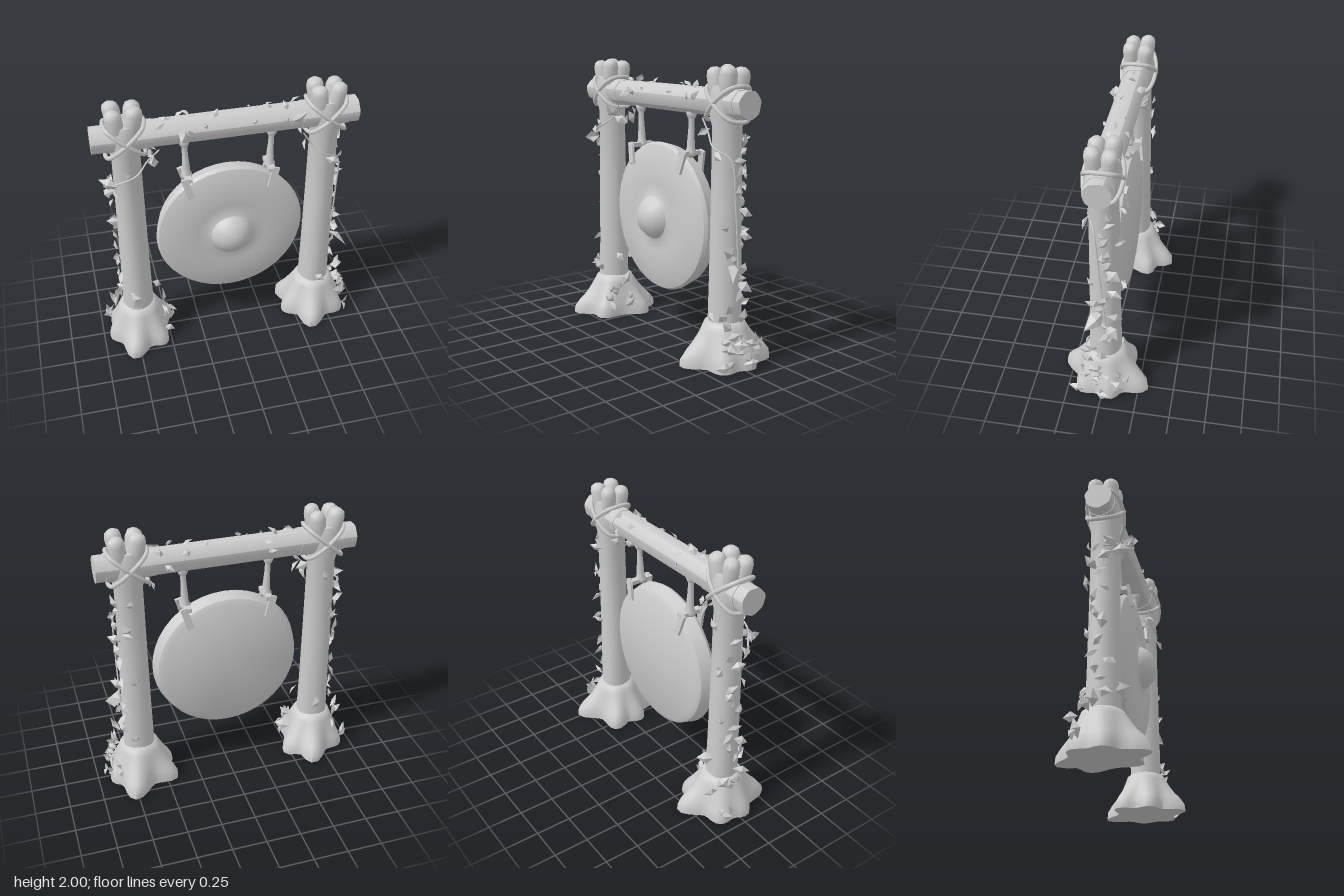
import * as THREE from 'three';
import { mergeGeometries, toCreasedNormals } from 'three/addons/utils/BufferGeometryUtils.js';

const stone = new THREE.MeshStandardMaterial({ color: 0xcccccc, side: THREE.DoubleSide });
stone.name = 'pale grey';

let seed = 7;
const rand = (a = 0, b = 1) => {
  seed = (seed * 16807) % 2147483647;
  return a + (b - a) * (seed / 2147483647);
};

function add(parent, name, geo) {
  const mesh = new THREE.Mesh(geo, stone);
  mesh.name = name;
  parent.add(mesh);
  return mesh;
}

// Closed loft along y; radius(a, level) gives each ring's outline
function loft(levels, sides, radius, crease = 0.7) {
  const pos = [], idx = [], n = levels.length;
  levels.forEach((lv) => {
    for (let i = 0; i < sides; i++) {
      const a = (i / sides) * Math.PI * 2, r = radius(a, lv);
      pos.push(Math.cos(a) * r, lv[0], Math.sin(a) * r);
    }
  });
  pos.push(0, levels[0][0], 0, 0, levels[n - 1][0], 0);
  for (let i = 0; i < sides; i++) {
    const j = (i + 1) % sides, top = (n - 1) * sides;
    for (let k = 0; k < n - 1; k++) {
      const p = k * sides, q = p + sides;
      idx.push(p + i, q + i, p + j, p + j, q + i, q + j);
    }
    idx.push(n * sides, i, j, n * sides + 1, top + j, top + i);
  }
  const geo = new THREE.BufferGeometry();
  geo.setAttribute('position', new THREE.Float32BufferAttribute(pos, 3));
  geo.setIndex(idx);
  return toCreasedNormals(geo, crease);
}

const V = (p) => new THREE.Vector3(...p);
const tube = (pts, r, closed = false, segs = 40) =>
  new THREE.TubeGeometry(new THREE.CatmullRomCurve3(pts.map(V), closed), segs, r, 7, closed);

// Folded, faceted leaf growing from p, facing outward along n
function leaf(p, n, len, roll = rand(-2.6, 2.6)) {
  const w = len * rand(0.26, 0.36), h = len * 0.18;
  const B = [0, 0, 0], L = [-w, len * 0.5, 0], R = [w, len * 0.45, 0], M = [0, len * 0.5, h], T = [0, len, -h * 0.5];
  const geo = new THREE.BufferGeometry();
  geo.setAttribute('position', new THREE.Float32BufferAttribute(
    [B, M, L, B, R, M, L, M, T, M, R, T].flat(), 3));
  geo.computeVertexNormals();
  geo.translate(0, -len * 0.3, 0);
  geo.rotateX(rand(0.2, 0.9));
  const o = new THREE.Object3D();
  o.position.copy(p);
  o.lookAt(p.clone().add(n));
  o.rotateZ(roll);
  o.updateMatrix();
  return geo.applyMatrix4(o.matrix);
}

// Flared foot with root lobes given as [x, z] tips
function foot(lobes) {
  const levels = [[0, 0.2, 1], [0.05, 0.2, 0.96], [0.1, 0.19, 0.75], [0.15, 0.178, 0.45],
    [0.2, 0.165, 0.25], [0.25, 0.15, 0.1], [0.285, 0.138, 0.03], [0.305, 0.11, 0]];
  return loft(levels, 40, (a, [, core, k]) => {
    let bulge = 0;
    for (const [x, z] of lobes) {
      const d = Math.atan2(z, x) - a, s = Math.atan2(Math.sin(d), Math.cos(d)) / 0.36;
      bulge = Math.max(bulge, (Math.hypot(x, z) - 0.2) * Math.exp(-s * s));
    }
    return core + bulge * k;
  }, 0.9);
}

function post(name, cx, lobes) {
  const g = new THREE.Group();
  g.name = name;
  g.position.x = cx;
  add(g, 'rootFoot', foot(lobes));
  // Trunk, slightly irregular, swelling at the joint
  add(g, 'trunk', loft([[0.25, 0.115], [0.6, 0.108], [1.1, 0.102], [1.6, 0.098], [1.68, 0.115], [1.8, 0.118], [1.87, 0.1]],
    18, (a, [, r]) => r * (1 + 0.025 * Math.cos(3 * a + 1))));
  // Four blunt prongs
  for (const sx of [-1, 1]) for (const sz of [-1, 1]) {
    const prong = add(g, 'crownProng', loft([[0, 0.05], [0.1, 0.056], [0.19, 0.057], [0.225, 0.047], [0.242, 0.022]],
      9, (a, [, r]) => r * (1 + 0.06 * Math.cos(2 * a + sx)), 0.9));
    prong.position.set(sx * 0.04, 1.757 + (sx * sz > 0 ? 0 : -0.012), sz * 0.042);
    prong.rotation.set(sz * 0.06, 0, -sx * 0.15);
  }
  // Diagonal lashings crossing front and back
  for (const s of [-1, 1]) {
    add(g, 'lashing', tube([[-0.12 * s, 1.65, 0.075], [0, 1.755, 0.125], [0.12 * s, 1.855, 0.075],
      [0.12 * s, 1.855, -0.075], [0, 1.755, -0.125], [-0.12 * s, 1.65, -0.075]], 0.015, true, 60));
  }
  return g;
}

function hanger(s) {
  const g = new THREE.Group();
  g.name = s > 0 ? 'leftHanger' : 'rightHanger';
  g.position.x = s > 0 ? 0.295 : -0.32;
  const prof = [[0.001, 1.7], [0.032, 1.69], [0.038, 1.66], [0.03, 1.635], [0.02, 1.62], [0.021, 1.55], [0.027, 1.46],
    [0.028, 1.42], [0.04, 1.395], [0.038, 1.37], [0.001, 1.35]];
  const cord = add(g, 'cord', new THREE.LatheGeometry(prof.reverse().map(([r, y]) => new THREE.Vector2(r, y - 1.7)), 12));
  cord.position.y = 1.7;
  cord.rotation.z = -s * 0.035;
  // Strap folded over the rim, hanging front and back
  for (const f of [-1, 1]) {
    const strap = add(g, 'strap', new THREE.BoxGeometry(0.05, 0.16, 0.02));
    strap.position.set(-s * 0.003, 1.325, f * 0.087);
    strap.rotation.set(f * -0.12, 0, -s * 0.28);
  }
  const fold = add(g, 'strapFold', new THREE.BoxGeometry(0.05, 0.03, 0.175));
  fold.position.set(-s * 0.012, 1.385, 0);
  return g;
}

// Leaves scattered around a post: entries are [angle, y, radius, size]
function clusterLeaves(cx, list) {
  return list.map(([a, y, r, s]) => {
    const n = new THREE.Vector3(Math.cos(a), rand(-0.2, 0.4), Math.sin(a));
    return leaf(new THREE.Vector3(cx + Math.cos(a) * r, y, Math.sin(a) * r), n, s);
  });
}

function trail(cx, side, y0, y1, count) {
  const list = [];
  for (let i = 0; i < count; i++) {
    const off = rand(-1, 1.1) * (i % 3 ? 0.5 : 1.2);
    list.push([side > 0 ? -off : Math.PI + off, y0 + ((y1 - y0) * i) / (count - 1), 0.12, rand(0.075, 0.13)]);
  }
  return clusterLeaves(cx, list);
}

function thicket(cx, angle, count, spread) {
  const list = [];
  for (let i = 0; i < count; i++) {
    const y = rand(0.05, 0.3);
    list.push([angle + rand(-spread, spread), y, 0.28 - y * 0.35, rand(0.08, 0.13)]);
  }
  return clusterLeaves(cx, list);
}

export function createModel() {
  const model = new THREE.Group();
  model.name = 'hangingGong';
  const LX = -0.715, RX = 0.67;
  model.add(post('rightPost', LX, [[0.09, -0.32], [-0.09, 0.32], [0.26, -0.15], [0.17, 0.22], [-0.2, -0.16], [-0.24, 0.06]]));
  model.add(post('leftPost', RX, [[0.11, -0.32], [-0.09, 0.31], [-0.25, -0.17], [0.2, 0.17], [0.24, -0.07], [-0.26, 0.08]]));

  // Crossbeam with shallow lengthwise grooves, and collars at the joints
  const bark = (a, [, r]) => r * (1 + 0.03 * Math.cos(7 * a) + 0.02 * Math.cos(3 * a + 1));
  const log = (x0, x1, r) => loft([[x0, r * 0.98], [(x0 + x1) / 2, r], [x1, r * 0.98]], 28, bark, 0.3).rotateZ(-Math.PI / 2);
  for (const [name, x0, x1, r] of [['crossbeam', -0.94, 0.89, 0.093], ['rightCollar', -0.85, -0.53, 0.098], ['leftCollar', 0.49, 0.82, 0.098]])
    add(model, name, log(x0, x1, r)).position.y = 1.755;

  // Gong: flat back, bevelled rim, domed face with centre boss
  const profile = [[0, -0.075], [0.48, -0.075], [0.515, -0.055], [0.54, 0.035], [0.525, 0.06], [0.47, 0.08], [0.35, 0.1], [0.25, 0.102],
    [0.19, 0.098], [0.155, 0.112], [0.138, 0.145], [0.1, 0.185], [0.05, 0.208], [0, 0.216]];
  const disc = new THREE.LatheGeometry(profile.map(([r, y]) => new THREE.Vector2(r, y)), 40);
  const gong = add(model, 'gong', toCreasedNormals(disc.rotateX(Math.PI / 2), 0.6));
  gong.position.set(-0.01, 0.895, 0);
  model.add(hanger(1), hanger(-1));

  // Climbing vines
  add(model, 'rightVine', tube([[-0.88, 1.4, 0.03], [-0.78, 1.46, 0.105], [-0.66, 1.51, 0.11], [-0.58, 1.58, 0.06], [-0.5, 1.67, 0.08]], 0.006));
  add(model, 'leftVine', tube([[0.5, 1.65, 0.07], [0.56, 1.56, 0.07], [0.66, 1.47, 0.105], [0.77, 1.4, 0.05], [0.79, 1.1, 0.02], [0.785, 0.6, -0.02]], 0.006));

  // Leaves on both posts
  const F = Math.PI / 2;
  add(model, 'rightPostLeaves', mergeGeometries([
    ...trail(LX, -1, 0.42, 1.48, 18), ...thicket(LX, 0.35, 8, 0.4), ...thicket(LX, Math.PI + 0.6, 6, 0.4),
    ...clusterLeaves(LX, [[F, 0.36, 0.12, 0.14], [F + 0.4, 0.46, 0.12, 0.08], [0.3, 0.48, 0.14, 0.09], [3.0, 0.38, 0.15, 0.13],
      [3.3, 0.31, 0.17, 0.12], [2.5, 1.44, 0.14, 0.15], [2.3, 1.4, 0.14, 0.13], [2.8, 1.36, 0.15, 0.12], [F, 1.5, 0.11, 0.08],
      [0.5, 1.6, 0.18, 0.13], [0.3, 1.56, 0.17, 0.12], [-0.3, 1.58, 0.18, 0.12], [-0.5, 1.62, 0.18, 0.1],
      [-F, 0.45, 0.12, 0.13], [-F, 1.5, 0.11, 0.1], [-2, 1.2, 0.11, 0.09]]),
  ]));
  add(model, 'leftPostLeaves', mergeGeometries([
    ...trail(RX, 1, 0.45, 1.5, 20), ...thicket(RX, 0.35, 14, 0.4), ...thicket(RX, -0.5, 5, 0.4),
    ...clusterLeaves(RX, [[F, 0.35, 0.12, 0.09], [F - 0.2, 1.43, 0.11, 0.12], [0.4, 0.4, 0.16, 0.13], [0, 0.35, 0.18, 0.12],
      [0.7, 0.35, 0.17, 0.1], [0.2, 0.68, 0.12, 0.2], [2.8, 1.57, 0.16, 0.1], [3.4, 1.6, 0.16, 0.1],
      [-F, 1.52, 0.115, 0.1], [-1.2, 1.3, 0.115, 0.1], [-F, 0.9, 0.12, 0.1], [-1.3, 0.4, 0.13, 0.1]]),
  ]));

  // Leaves on the beam: [x, angle around the beam from the front, size]
  const onBeam = [[-0.33, 0.3, 0.12], [-0.29, 0.1, 0.09], [-0.43, 1.5, 0.08], [-0.36, 1.7, 0.1], [-0.11, 1.3, 0.07], [-0.18, 0.5, 0.05],
    [-0.5, 0.9, 0.08], [-0.28, 2.3, 0.09], [0.16, 0.5, 0.06], [0.27, 1.5, 0.08], [0.43, 0.3, 0.13], [0.36, 0.2, 0.06],
    [0.38, 1.2, 0.08], [0.27, 2.4, 0.08], [0.45, 2.2, 0.09], [0.14, 2, 0.05], [-0.3, 3.1, 0.09], [0.42, 3.2, 0.09]];
  add(model, 'beamLeaves', mergeGeometries(onBeam.map(([x, a, s]) => {
    const n = new THREE.Vector3(0, Math.sin(a), Math.cos(a));
    return leaf(new THREE.Vector3(x, 1.755 + n.y * 0.1, n.z * 0.1), n.clone().setX(0.1), s);
  })));
  return model;
}
